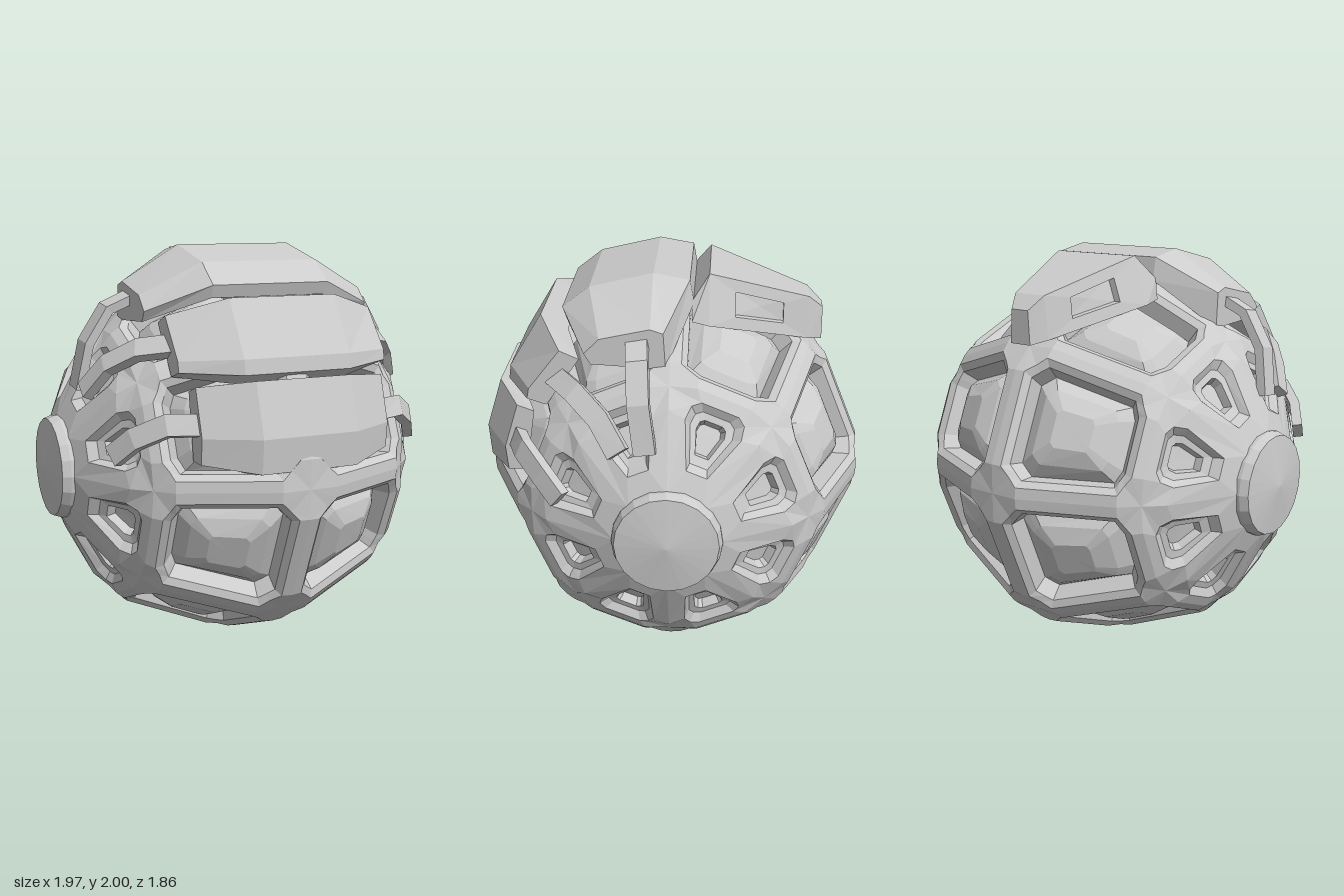
import * as THREE from 'three';

const V = (x, y, z) => new THREE.Vector3(x, y, z);
const CENTER = V(0, 0.93, 0);
const RAD = Math.PI / 180;
const grey = new THREE.MeshStandardMaterial({ color: 0xcccccc, flatShading: true, side: THREE.DoubleSide });

const centroid = (pts) => pts.reduce((s, p) => s.add(p), V(0, 0, 0)).divideScalar(pts.length);

// Skins a row of closed loops; faces are turned to point away from ref.
function loft(loops, capStart, capEnd, ref) {
  const tris = [];
  const n = loops[0].length;
  for (let k = 0; k < loops.length - 1; k++) {
    for (let i = 0; i < n; i++) {
      const j = (i + 1) % n, a = loops[k], b = loops[k + 1];
      tris.push([a[i], a[j], b[j]], [a[i], b[j], b[i]]);
    }
  }
  const cap = (loop, flip) => {
    const c = centroid(loop);
    loop.forEach((p, i) => {
      const q = loop[(i + 1) % n];
      tris.push(flip ? [c, q, p] : [c, p, q]);
    });
  };
  if (capStart) cap(loops[0], true);
  if (capEnd) cap(loops[loops.length - 1], false);
  const o = ref || centroid(loops.flat());
  let vol = 0;
  for (const [a, b, c] of tris) {
    vol += a.clone().sub(o).dot(b.clone().sub(o).cross(c.clone().sub(o)));
  }
  const pts = tris.flatMap(([a, b, c]) => (vol < 0 ? [a, c, b] : [a, b, c]));
  const g = new THREE.BufferGeometry().setFromPoints(pts);
  g.computeVertexNormals();
  return g;
}

function add(parent, name, geometry) {
  const m = new THREE.Mesh(geometry, grey);
  m.name = name;
  parent.add(m);
  return m;
}

// Point on the ball: lon turns about the x axis from the front, lat runs towards a hub
function ball(lon, lat, r) {
  const c = Math.cos(lat * RAD) * r;
  return V(Math.sin(lat * RAD) * r, c * Math.sin(lon * RAD), c * Math.cos(lon * RAD)).add(CENTER);
}

// Outline of a large bay between four nodes, w degrees inside the bar centre lines
function bayOutline(w) {
  const s = Math.max(0, w - 3.2) * 0.4;
  const a = 8.6 + s, b = 11 + s, lo = 8.6 + s, hi = 38.2 - s;
  const wl = w / Math.cos(lo * RAD), wh = w / Math.cos(hi * RAD);
  const pts = [[0, 0], [a, w], [45 - a, w], [45, 0], [45 - wl, lo], [45 - wh, hi],
    [45, 45], [45 - b, 45 - w], [b, 45 - w], [0, 45], [wh, hi], [wl, lo]];
  if (w > 0) {
    for (const i of [0, 3, 6, 9]) {
      const p = pts[(i + 11) % 12], q = pts[i + 1];
      pts[i] = [(p[0] + q[0]) / 2, (p[1] + q[1]) / 2];
    }
  }
  return pts;
}

const shrink = (pts, f, c) => pts.map(([u, v]) => [c[0] + (u - c[0]) * f, c[1] + (v - c[1]) * f]);

function cage(group, side) {
  const place = (pts, r, lon0, nodeR) => pts.map(([u, v], i) =>
    ball(lon0 + u, v * side, nodeR && i % 3 === 0 ? nodeR : r));
  for (let k = 0; k < 8; k++) {
    const lon = k * 45;
    // Large bay: flat bars, bevel, wall
    const frame = [[0, 0.94, 0.93], [3.2, 0.937, 0.93], [5, 0.905]]
      .map(([w, r, n]) => place(bayOutline(w), r, lon, n));
    const floor = bayOutline(5.4);
    frame.push(place(floor, 0.82, lon));
    add(group, 'bayFrame', loft(frame, false, false, CENTER));
    // Faceted dome sunk in the bay
    const dome = [[1, 0.82], [0.72, 0.85], [0.36, 0.868]]
      .map(([f, r]) => place(shrink(floor, f, [22.5, 22]), r, lon));
    add(group, 'bayDome', loft(dome, false, true, CENTER));
    // Small pocket between two spokes and the hub
    const outer = [[0, 45], [11, 45], [34, 45], [45, 45], [45, 52], [45, 75], [0, 75], [0, 52]];
    const rim = [[10, 50], [14, 48.5], [31, 48.5], [35, 50], [37, 54], [31, 68], [14, 68], [8, 54]];
    const mid = [22.5, 57];
    const pocket = [
      outer.map(([u, v], i) => ball(lon + u, v * side, i === 0 || i === 3 ? 0.93 : 0.94)),
      place(rim, 0.925, lon),
      place(shrink(rim, 0.8, mid), 0.885, lon),
      place(shrink(rim, 0.55, mid), 0.875, lon),
      place(shrink(rim, 0.48, mid), 0.83, lon),
    ];
    add(group, 'hubPocket', loft(pocket, false, true, CENTER));
  }
}

// Round hub cap on each side
function hub(group, side) {
  const profile = [[0.27, 0.84], [0.27, 0.875], [0.255, 0.89], [0.255, 0.915], [0.24, 0.955], [0, 0.985]];
  const g = new THREE.LatheGeometry(profile.map(([r, y]) => new THREE.Vector2(r, y)), 20);
  const m = add(group, 'hubCap', g);
  m.rotation.z = -side * Math.PI / 2;
  m.position.copy(CENTER);
}

// Armour plate: a middle and an end section, each in z, y
function plate(group, name, xMid, xEnd, mid, end) {
  const at = (x, sec) => sec.map(([z, y]) => V(x, y, z));
  add(group, name, loft([at(-xEnd, end), at(-xMid, mid), at(xMid, mid), at(xEnd, end)], true, true));
}

// Flat bent strap lying over the ball
function strap(group, side, path, width, thick) {
  const pts = path.map(([x, y, z]) => V(x * side, y, z));
  const loops = pts.map((p, i) => {
    const t = pts[Math.min(i + 1, pts.length - 1)].clone().sub(pts[Math.max(i - 1, 0)]).normalize();
    const up = p.clone().sub(CENTER);
    up.addScaledVector(t, -up.dot(t)).normalize();
    const across = t.clone().cross(up);
    return [[-1, -1], [1, -1], [1, 1], [-1, 1]].map(([a, b]) =>
      p.clone().addScaledVector(across, a * width / 2).addScaledVector(up, b * thick / 2));
  });
  add(group, 'strap', loft(loops, true, true));
}

// Tapered crest behind the top plate, with a recess in each flank
function crest(group) {
  // z, top half width, top y, bottom half width, bottom y
  const secs = [[-0.09, 0.31, 1.87, 0.32, 1.77], [-0.17, 0.24, 1.98, 0.32, 1.75],
    [-0.65, 0.09, 1.825, 0.11, 1.62], [-0.72, 0.05, 1.76, 0.06, 1.6]];
  const ring = ([z, a, t, b, u]) => [V(-b, u, z), V(b, u, z), V(a, t, z), V(-a, t, z)];
  const r = secs.map(ring);
  add(group, 'crestFront', loft([r[0], r[1]], true, false));
  add(group, 'crestTail', loft([r[2], r[3]], false, true));
  const ref = centroid([...r[1], ...r[2]]);
  const sheet = (q) => loft([q, q.map(() => centroid(q))], false, false, ref);
  add(group, 'crestTop', sheet([r[1][2], r[1][3], r[2][3], r[2][2]]));
  add(group, 'crestBase', sheet([r[1][0], r[1][1], r[2][1], r[2][0]]));
  for (const [lo, hi] of [[0, 3], [1, 2]]) {
    const q = [r[1][lo], r[1][hi], r[2][hi], r[2][lo]];
    const c = centroid(q);
    const inner = q.map((p) => p.clone().lerp(c, 0.52));
    const deep = inner.map((p) => V(p.x - Math.sign(c.x) * 0.035, p.y, p.z));
    add(group, 'crestFlank', loft([q, inner, deep], false, true, ref));
  }
}

export function createModel() {
  const model = new THREE.Group();
  model.name = 'armouredBall';
  const shell = new THREE.Group();
  shell.name = 'shell';
  const armour = new THREE.Group();
  armour.name = 'armour';
  model.add(shell, armour);

  plate(armour, 'lowerPlate', 0.24, 0.48,
    [[0.92, 1.02], [0.93, 1.18], [0.85, 1.43], [0.74, 1.41], [0.82, 1.0]],
    [[0.79, 1.06], [0.8, 1.18], [0.73, 1.4], [0.65, 1.37], [0.7, 1.06]]);
  plate(armour, 'middlePlate', 0.27, 0.535,
    [[0.8, 1.45], [0.79, 1.52], [0.63, 1.78], [0.5, 1.71], [0.72, 1.4]],
    [[0.67, 1.46], [0.66, 1.51], [0.51, 1.7], [0.42, 1.66], [0.58, 1.43]]);
  plate(armour, 'topPlate', 0.3, 0.59,
    [[0.52, 1.83], [0.39, 1.93], [0.09, 2.0], [-0.08, 1.97], [-0.1, 1.86], [0.5, 1.77]],
    [[0.39, 1.71], [0.32, 1.78], [0.09, 1.83], [0.03, 1.81], [0.02, 1.64], [0.36, 1.66]]);
  crest(armour);

  for (const side of [-1, 1]) {
    cage(shell, side);
    hub(shell, side);
    strap(armour, side, [[0.44, 1.23, 0.75], [0.6, 1.23, 0.69], [0.72, 1.16, 0.59], [0.79, 1.07, 0.5]], 0.1, 0.05);
    strap(armour, side, [[0.48, 1.57, 0.56], [0.64, 1.54, 0.43], [0.75, 1.46, 0.31], [0.83, 1.33, 0.22]], 0.1, 0.05);
    strap(armour, side, [[0.55, 1.77, 0.15], [0.69, 1.71, 0.14], [0.79, 1.55, 0.13], [0.83, 1.33, 0.1]], 0.1, 0.045);
  }
  return model;
}
